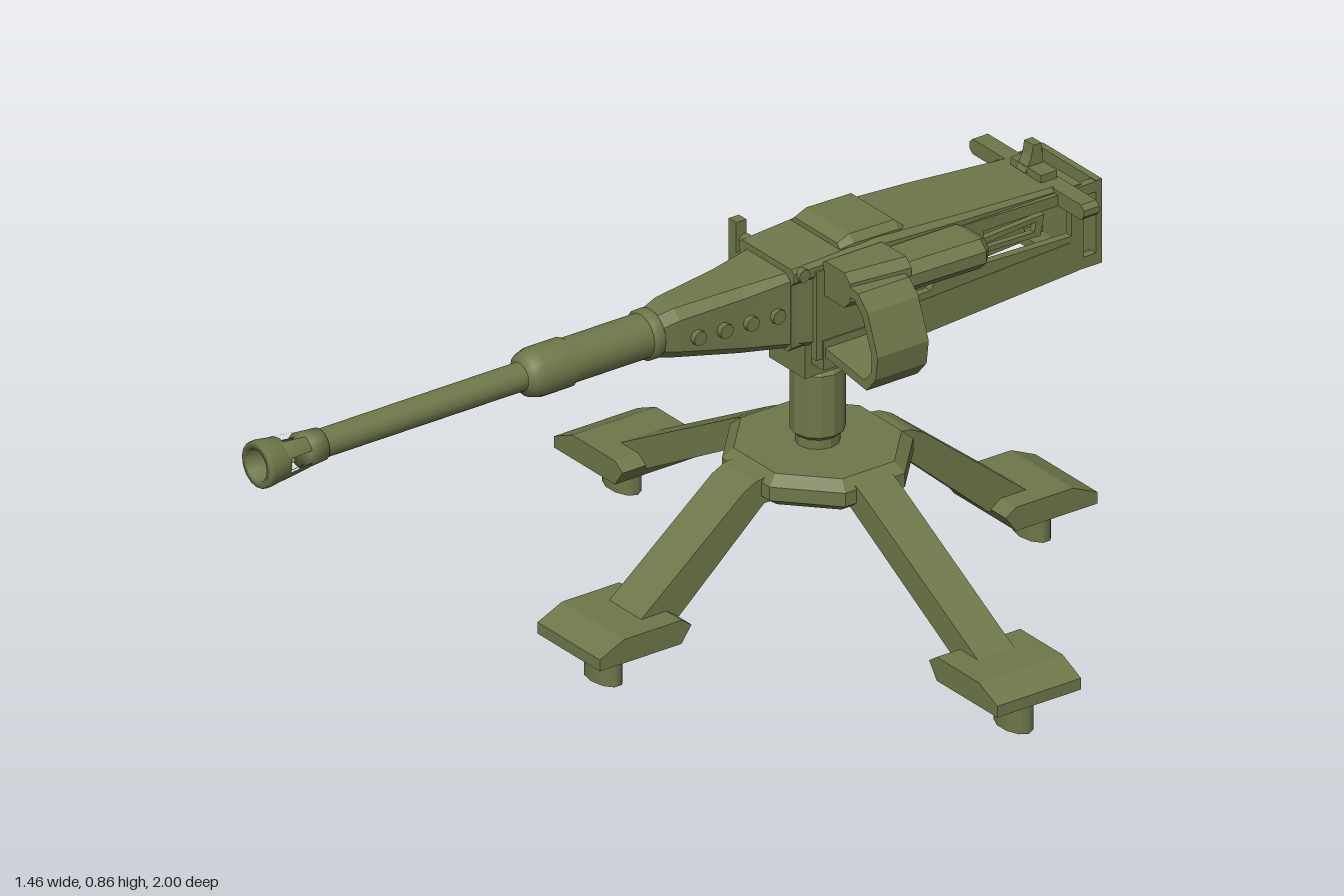
import * as THREE from 'three';

const olive = new THREE.MeshStandardMaterial({ color: 0x6e774a });
olive.name = 'olive';
const oliveOpen = olive;
const V2 = (p) => new THREE.Vector2(p[0], p[1]);

function add(parent, name, geo, x = 0, y = 0, z = 0) {
  const m = new THREE.Mesh(geo, oliveOpen);
  m.name = name;
  m.position.set(x, y, z);
  parent.add(m);
  return m;
}

// box given by its limits on each axis
function box(parent, name, [x0, x1], [y0, y1], [z0, z1]) {
  return add(parent, name, new THREE.BoxGeometry(x1 - x0, y1 - y0, z1 - z0),
    (x0 + x1) / 2, (y0 + y1) / 2, (z0 + z1) / 2);
}

// side profile of [z, y] points, with holes, widened along x
function prism(parent, name, pts, width, x = 0, holes = []) {
  const s = new THREE.Shape(pts.map(V2));
  holes.forEach((h) => s.holes.push(new THREE.Path(h.map(V2))));
  const g = new THREE.ExtrudeGeometry(s, { depth: width, bevelEnabled: false });
  g.translate(0, 0, -width / 2).rotateY(-Math.PI / 2);
  return add(parent, name, g, x);
}

// chamfered box loft; sections [z, x0, x1, y0, y1, chamfer] run from front to back
function loft(parent, name, sections) {
  const rings = sections.map(([z, x0, x1, y0, y1, c]) => [
    [x1, y0 + c, z], [x1, y1 - c, z], [x1 - c, y1, z], [x0 + c, y1, z],
    [x0, y1 - c, z], [x0, y0 + c, z], [x0 + c, y0, z], [x1 - c, y0, z]]);
  const pos = [];
  const tri = (...p) => p.forEach((q) => pos.push(...q));
  for (let k = 0; k + 1 < rings.length; k++) {
    for (let i = 0; i < 8; i++) {
      const j = (i + 1) % 8, a = rings[k], b = rings[k + 1];
      tri(a[i], b[i], b[j]);
      tri(a[i], b[j], a[j]);
    }
  }
  const f = rings[0], r = rings[rings.length - 1];
  for (let i = 1; i < 7; i++) {
    tri(f[0], f[i], f[i + 1]);
    tri(r[0], r[i + 1], r[i]);
  }
  const g = new THREE.BufferGeometry();
  g.setAttribute('position', new THREE.Float32BufferAttribute(pos, 3));
  g.computeVertexNormals();
  return add(parent, name, g);
}

// turned part along z; points [radius, z] run from back to front
function turned(parent, name, pts, seg = 16, start = 0, sweep = Math.PI * 2) {
  const g = new THREE.LatheGeometry(pts.map(V2), seg, start, sweep);
  g.rotateX(Math.PI / 2);
  return add(parent, name, g, 0, 0.725, 0);
}

function buildMount(root) {
  const mount = new THREE.Group();
  mount.name = 'mount';
  mount.position.z = -0.375;
  root.add(mount);

  // octagonal hub and pedestal
  const hub = new THREE.LatheGeometry([[0, 0.295], [0.175, 0.295], [0.205, 0.315], [0.205, 0.345],
    [0.18, 0.365], [0, 0.365]].map(V2), 8, Math.PI / 8).toNonIndexed();
  hub.computeVertexNormals();
  hub.scale(1, 1, 0.93);
  add(mount, 'hub', hub);
  const post = new THREE.LatheGeometry([[0.045, 0.36], [0.045, 0.385], [0.056, 0.395], [0.056, 0.53],
    [0.046, 0.54], [0.046, 0.56]].map(V2), 12).toNonIndexed();
  post.computeVertexNormals();
  add(mount, 'pedestal', post);

  // four legs, the side pair longer
  for (let k = 0; k < 4; k++) {
    const side = k % 2 === 1, R = side ? 0.73 : 0.61;
    const leg = new THREE.Group();
    leg.name = 'leg';
    leg.rotation.y = k * Math.PI / 2;
    mount.add(leg);
    prism(leg, 'strut', [[0.12, 0.36], [0.19, 0.35], [0.22, 0.335], [R - 0.13, 0.125], [R - 0.13, 0.1],
      [R - 0.23, 0.11], [0.17, 0.297], [0.12, 0.297]].reverse(), side ? 0.09 : 0.105);
    prism(leg, 'footPlate', [[R - 0.2, 0.08], [R, 0.08], [R, 0.105], [R - 0.06, 0.132],
      [R - 0.2, 0.132], [R - 0.225, 0.115]], 0.205);
    const peg = add(leg, 'footPeg', new THREE.CylinderGeometry(1, 1, 0.09, 10), 0, 0.045, R - 0.085);
    peg.scale.set(side ? 0.03 : 0.052, 1, side ? 0.052 : 0.03);
  }

  // cradle holding the receiver
  box(mount, 'cradle', [-0.06, 0.06], [0.545, 0.64], [-0.085, 0.075]);
  box(mount, 'cradleTop', [-0.1, 0.1], [0.575, 0.64], [-0.1, 0.06]);
}

function buildBarrel(root) {
  const barrel = new THREE.Group();
  barrel.name = 'barrel';
  root.add(barrel);
  turned(barrel, 'barrelTube', [[0.03, 0.3], [0.03, 0.85], [0.026, 0.86], [0, 0.86]]);
  turned(barrel, 'jacket', [[0.04, -0.05], [0.047, 0.04], [0.047, 0.24], [0.052, 0.25], [0.052, 0.32],
    [0.045, 0.345], [0.03, 0.355]]);
  turned(barrel, 'jacketRing', [[0.045, 0.03], [0.053, 0.035], [0.053, 0.055], [0.045, 0.06]]);

  // flared muzzle with four slots
  turned(barrel, 'muzzleBase', [[0, 0.845], [0.034, 0.845], [0.038, 0.895], [0, 0.895]]);
  for (let i = 0; i < 4; i++) {
    turned(barrel, 'muzzleBar', [[0.028, 0.89], [0.038, 0.89], [0.045, 0.95], [0.034, 0.95], [0.028, 0.89]],
      4, i * Math.PI / 2 + 0.35, Math.PI / 2 - 0.7);
  }
  turned(barrel, 'muzzleRing', [[0.033, 0.945], [0.044, 0.945], [0.05, 0.99], [0.048, 1], [0.034, 1], [0.033, 0.945]]);
}

function buildReceiver(root) {
  const gun = new THREE.Group();
  gun.name = 'receiver';
  root.add(gun);

  // tapered front housing and main body
  loft(gun, 'frontHousing', [[0.04, -0.042, 0.042, 0.68, 0.77, 0.02], [0, -0.05, 0.05, 0.672, 0.78, 0.02],
    [-0.15, -0.065, 0.065, 0.643, 0.788, 0.018], [-0.3, -0.085, 0.085, 0.625, 0.8, 0.012]]);
  loft(gun, 'body', [[-0.25, -0.08, 0.08, 0.625, 0.795, 0.01], [-0.7, -0.08, 0.08, 0.64, 0.79, 0.01]]);
  for (const s of [-1, 1]) {
    for (const z of [-0.04, -0.1, -0.16, -0.22]) {
      const rivet = add(gun, 'housingBoss', new THREE.CylinderGeometry(0.016, 0.016, 0.02, 8),
        s * (0.052 - z * 0.1), 0.715, z);
      rivet.rotation.z = Math.PI / 2;
    }
    // windowed side plates, lower rails and grips
    prism(gun, 'sidePlate', [[-0.3, 0.6], [-0.3, 0.795], [-0.94, 0.785], [-0.94, 0.61]].reverse(), 0.018, s * 0.088,
      [[[-0.71, 0.69], [-0.71, 0.762], [-0.925, 0.762], [-0.925, 0.685]],
        [[-0.47, 0.67], [-0.46, 0.7], [-0.49, 0.72], [-0.57, 0.72], [-0.6, 0.7], [-0.58, 0.67]]]);
    prism(gun, 'lowerRail', [[-0.44, 0.572], [-0.44, 0.65], [-0.92, 0.672], [-0.94, 0.605]].reverse(), 0.03, s * 0.083);
    prism(gun, 'innerLever', [[-0.7, 0.705], [-0.7, 0.735], [-0.87, 0.745], [-0.86, 0.7]].reverse(), 0.014, s * 0.075,
      [[[-0.73, 0.714], [-0.73, 0.724], [-0.85, 0.734], [-0.845, 0.712]]]);
    prism(gun, 'rearFrameSide', [[-1, 0.605], [-0.935, 0.605], [-0.935, 0.788], [-1, 0.788]], 0.018, s * 0.088,
      [[[-0.985, 0.63], [-0.985, 0.765], [-0.955, 0.765], [-0.955, 0.63]]]);
  }
  box(gun, 'backPlate', [-0.097, 0.097], [0.605, 0.79], [-1, -0.985]);
  box(gun, 'rearCrossbar', [-0.09, 0.09], [0.765, 0.79], [-0.955, -0.92]);
  box(gun, 'rearLowerCrossbar', [-0.09, 0.09], [0.605, 0.625], [-0.96, -0.92]);

  // top cover with its hump and hinge
  loft(gun, 'topCover', [[-0.25, -0.09, 0.09, 0.775, 0.81, 0.008], [-0.45, -0.098, 0.098, 0.775, 0.822, 0.012],
    [-0.66, -0.095, 0.095, 0.77, 0.81, 0.01], [-0.9, -0.085, 0.085, 0.765, 0.795, 0.008]]);
  loft(gun, 'coverHump', [[-0.37, -0.08, 0.08, 0.8, 0.828, 0.01], [-0.4, -0.086, 0.086, 0.8, 0.84, 0.015],
    [-0.51, -0.086, 0.086, 0.8, 0.838, 0.015], [-0.53, -0.08, 0.08, 0.8, 0.82, 0.008]]);
  const hinge = add(gun, 'coverHinge', new THREE.CylinderGeometry(0.014, 0.014, 0.2, 8), 0, 0.797, -0.27);
  hinge.rotation.z = Math.PI / 2;

  // rear handle bar and sights
  loft(gun, 'handleBar', [[-0.892, -0.195, 0.182, 0.762, 0.795, 0.01], [-0.93, -0.195, 0.182, 0.762, 0.795, 0.01]]);
  box(gun, 'rearSightBase', [-0.05, 0.05], [0.79, 0.812], [-0.925, -0.885]);
  prism(gun, 'rearSight', [[-0.925, 0.8], [-0.88, 0.8], [-0.895, 0.83], [-0.9, 0.856], [-0.92, 0.856]], 0.03, -0.01);
  box(gun, 'frontSight', [-0.125, -0.1], [0.73, 0.84], [-0.275, -0.25]);
  box(gun, 'frontSightArm', [-0.12, -0.07], [0.75, 0.775], [-0.275, -0.25]);
  loft(gun, 'chargingBlock', [[-0.38, -0.12, -0.08, 0.72, 0.785, 0.01], [-0.52, -0.12, -0.08, 0.72, 0.785, 0.01]]);

  // feed tray, side housing and curved chute on the left
  loft(gun, 'feedTray', [[-0.32, 0.08, 0.18, 0.738, 0.815, 0.018], [-0.46, 0.08, 0.195, 0.738, 0.815, 0.018]]);
  loft(gun, 'sideHousing', [[-0.44, 0.08, 0.195, 0.735, 0.8, 0.02], [-0.64, 0.08, 0.2, 0.735, 0.8, 0.02],
    [-0.66, 0.09, 0.18, 0.745, 0.79, 0.015]]);
  const strip = new THREE.Shape([[0.09, 0.775], [0.195, 0.768], [0.22, 0.745], [0.252, 0.67], [0.25, 0.63],
    [0.228, 0.605], [0.09, 0.625], [0.09, 0.605], [0.235, 0.585], [0.265, 0.62], [0.272, 0.672],
    [0.238, 0.757], [0.208, 0.787], [0.09, 0.8]].map(V2));
  add(gun, 'feedChute', new THREE.ExtrudeGeometry(strip, { depth: 0.125, bevelEnabled: false }), 0, 0, -0.445);
}

export function createModel() {
  const root = new THREE.Group();
  root.name = 'mountedGun';
  buildMount(root);
  buildBarrel(root);
  buildReceiver(root);
  return root;
}
